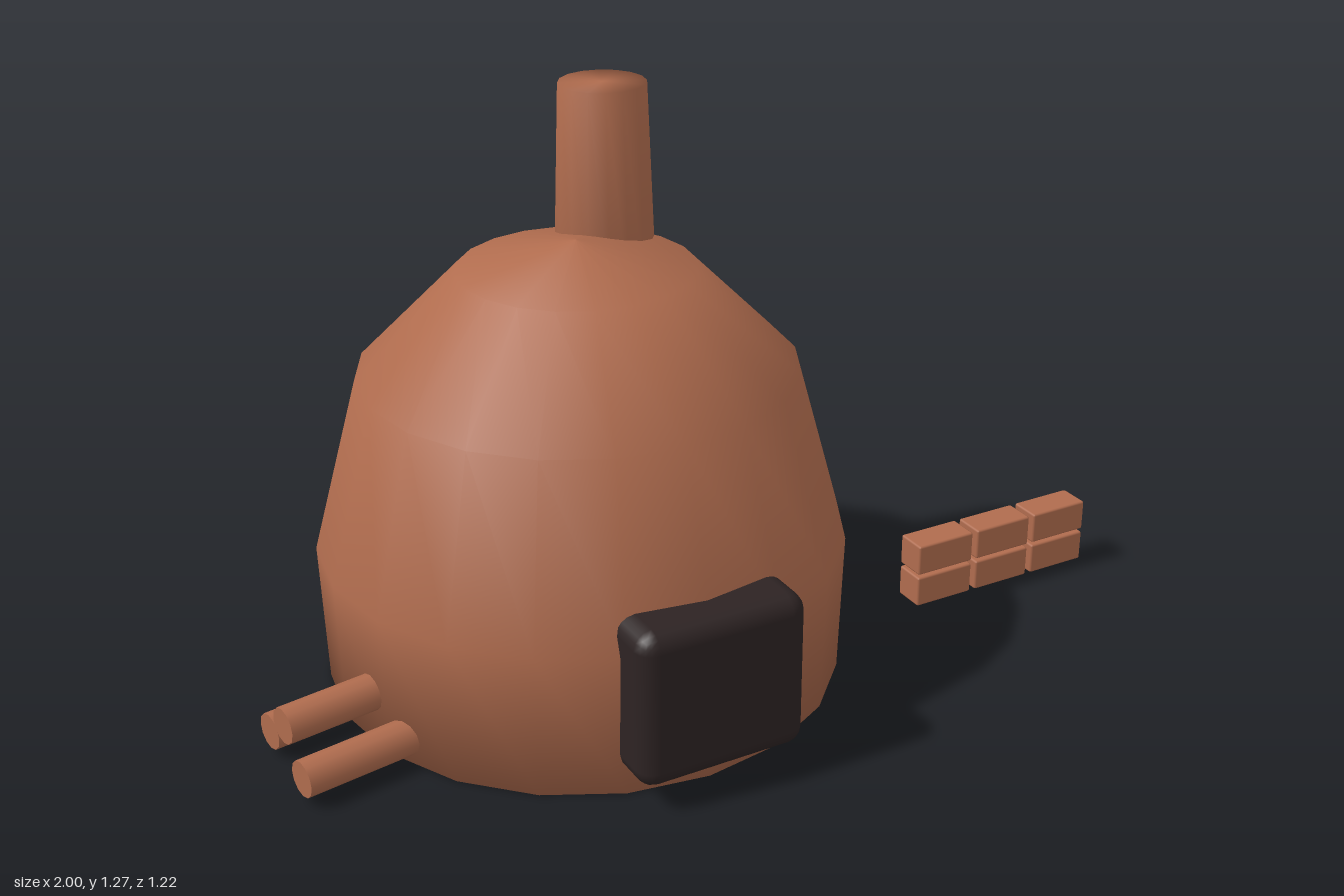
import * as THREE from 'three';
import { RoundedBoxGeometry } from 'three/addons/geometries/RoundedBoxGeometry.js';

export function createModel() {
  const model = new THREE.Group();
  model.name = 'clayOven';
  const clay = new THREE.MeshStandardMaterial({ color: 0xb06c4e });
  clay.name = 'terracotta';
  const iron = new THREE.MeshStandardMaterial({ color: 0x2d2323 });
  iron.name = 'darkIron';

  const add = (name, geometry, material, x, y, z, parent = model) => {
    const mesh = new THREE.Mesh(geometry, material);
    mesh.name = name;
    mesh.position.set(x, y, z);
    parent.add(mesh);
    return mesh;
  };
  // Smooth turned body from [radius, height] pairs, closed on the axis
  const turned = (profile, sides) =>
    new THREE.LatheGeometry(profile.map(([r, y]) => new THREE.Vector2(r, y)), sides);

  // Oven dome
  add('dome', turned([[0, 0], [0.57, 0], [0.58, 0.32], [0.475, 0.705], [0.256, 0.925], [0, 0.985]], 20),
    clay, -0.235, 0, -0.03);

  // Tapered chimney, sunk into the dome
  add('chimney', turned([[0, 0.82], [0.112, 0.82], [0.095, 1.275], [0, 1.275]], 16),
    clay, -0.105, 0, -0.155);

  // Door with softened corners
  add('door', new RoundedBoxGeometry(0.38, 0.35, 0.17, 2, 0.04), iron, -0.235, 0.23, 0.525);

  // Stack of bricks: two rows of three
  const bricks = new THREE.Group();
  bricks.name = 'brickStack';
  model.add(bricks);
  const brick = new RoundedBoxGeometry(0.152, 0.074, 0.075, 1, 0.005);
  for (let row = 0; row < 2; row++) {
    for (let i = 0; i < 3; i++) {
      add('brick', brick, clay, 0.593 + i * 0.1655, 0.052 + row * 0.082, 0.167, bricks);
    }
  }

  // Small pile of logs: two below, one resting between them
  const logs = new THREE.Group();
  logs.name = 'logPile';
  model.add(logs);
  const log = new THREE.CylinderGeometry(0.04, 0.04, 0.26, 12).rotateZ(Math.PI / 2);
  for (const [y, z] of [[0.056, 0.008], [0.125, 0.105], [0.056, 0.203]]) {
    add('log', log, clay, -0.865, y, z, logs).rotation.y = 0.165;
  }

  return model;
}
